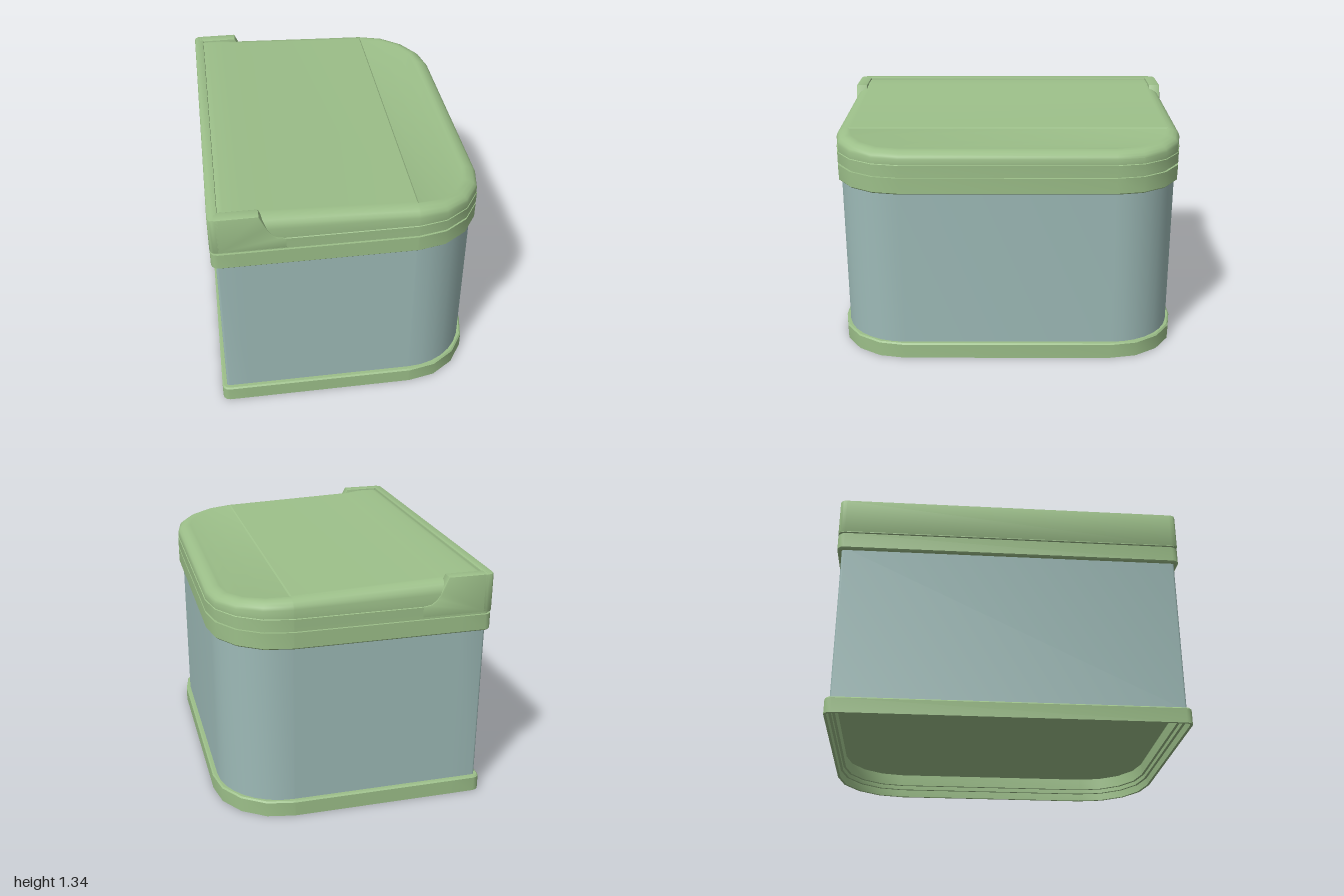
import * as THREE from 'three';
import { toCreasedNormals } from 'three/addons/utils/BufferGeometryUtils.js';

const green = new THREE.MeshStandardMaterial({ color: 0x9cbf89 });
const blue = new THREE.MeshStandardMaterial({ color: 0x9dbab7 });
const HX = 0.755, HZ = 1;

// Footprint inset by d: tight corners at -x, wide rounded corners at +x.
// Ordered symmetrically, so point i mirrors point n-1-i across z = 0.
function outline(d, segments) {
  const half = [];
  const arc = (cx, cz, r, from, to, n) => {
    for (let i = 0; i <= n; i++) {
      const a = from + (to - from) * i / n;
      half.push([cx + r * Math.cos(a), cz + r * Math.sin(a)]);
    }
  };
  const small = Math.max(0.04 - d, 0.01), big = 0.4 - d;
  arc(-HX + d + small, -HZ + d + small, small, Math.PI, Math.PI * 1.5, 3);
  for (const x of [-0.58, -0.48, 0.348]) half.push([x, -HZ + d]);
  arc(HX - d - big, -HZ + d + big, big, Math.PI * 1.5, Math.PI * 2, segments);
  return [...half, ...half.map(([x, z]) => [x, -z]).reverse()];
}

// Skin through rings [inset, height or height(x)], closed at both ends.
function loft(name, material, rings, segments = 4) {
  const positions = [], index = [];
  let n = 0;
  for (const [d, h] of rings) {
    const pts = outline(d, segments);
    n = pts.length;
    for (const [x, z] of pts) positions.push(x, typeof h === 'function' ? h(x) : h, z);
  }
  for (let k = 0; k < rings.length - 1; k++) {
    for (let i = 0; i < n; i++) {
      const j = (i + 1) % n, a = k * n, b = a + n;
      index.push(a + i, b + j, a + j, a + i, b + i, b + j);
    }
  }
  const top = (rings.length - 1) * n;
  for (let i = 0; i < n / 2 - 1; i++) {
    const a = i, b = i + 1, c = n - 2 - i, d = n - 1 - i;
    index.push(a, c, d, a, b, c);
    index.push(top + a, top + d, top + c, top + a, top + c, top + b);
  }
  const geometry = new THREE.BufferGeometry();
  geometry.setAttribute('position', new THREE.Float32BufferAttribute(positions, 3));
  geometry.setIndex(index);
  const mesh = new THREE.Mesh(toCreasedNormals(geometry, 0.6), material);
  mesh.name = name;
  return mesh;
}

// Height of the lid's sloping top along x, easing up to the housing at the back
function lidTop(x) {
  if (x < -0.48) return 1.317 + 0.013 * Math.min((-0.48 - x) / 0.1, 1);
  if (x < 0.355) return 1.317 - (x + 0.48) * 0.038;
  const t = x - 0.355;
  return 1.285 - t * 0.045 - t * t * 0.1;
}
const dome = f => x => 1.185 + (lidTop(x) - 1.185) * f;
// Shallow sunken panel at the rounded end of the lid
const panel = x => lidTop(x) - (x > 0.352 ? 0.005 : 0);

// Extruded outline with a small rounded edge that stays within the outline
function bevelled(shape, depth) {
  const b = 0.007;
  const geometry = new THREE.ExtrudeGeometry(shape, {
    depth: depth - 2 * b, bevelSize: b, bevelThickness: b, bevelOffset: -b, bevelSegments: 2, curveSegments: 4,
  });
  geometry.translate(0, 0, b);
  return geometry;
}

export function createModel() {
  const model = new THREE.Group();

  // Base rim with a stepped recess underneath
  model.add(loft('baseRim', green, [
    [0.045, 0.14], [0.045, 0.07], [0.03, 0.07], [0.03, 0.045], [0.015, 0.045], [0.015, 0],
    [0, 0], [0, 0.084], [0.008, 0.092], [0.035, 0.092], [0.035, 0.15],
  ]));

  // Container walls
  model.add(loft('body', blue, [[0.04, 0.155], [0.04, 0.085], [0.027, 0.085], [0.027, 1.03]], 8));

  // Collar and the shadow groove above it
  model.add(loft('collar', green, [
    [0.06, 1.015], [0.008, 1.015], [0.001, 1.022], [0.001, 1.11], [0.014, 1.11], [0.014, 1.13],
  ]));

  // Lid: straight band, fine seam edge, then a rounded edge up to the sloping top
  model.add(loft('lid', green, [
    [0.06, 1.122], [0.001, 1.122], [0.001, 1.183], [0.005, 1.186],
    [0.004, dome(0.5)], [0.01, dome(0.68)], [0.024, dome(0.84)],
    [0.045, dome(0.94)], [0.07, dome(1)], [0.085, panel],
  ]));

  // Raised hinge housing: back bar plus a swept cheek on each side
  const housing = new THREE.Group();
  housing.name = 'hingeHousing';
  const bar = new THREE.Shape();
  bar.moveTo(-0.70, -HZ);
  bar.lineTo(-0.70, HZ);
  bar.lineTo(-0.715, HZ);
  bar.quadraticCurveTo(-HX, HZ, -HX, 0.96);
  bar.lineTo(-HX, -0.96);
  bar.quadraticCurveTo(-HX, -HZ, -0.715, -HZ);
  const barGeometry = bevelled(bar, 0.218);
  barGeometry.rotateX(-Math.PI / 2);
  const backBar = new THREE.Mesh(toCreasedNormals(barGeometry, 0.6), green);
  backBar.name = 'backBar';
  backBar.position.y = 1.122;
  housing.add(backBar);

  const cheek = new THREE.Shape();
  cheek.moveTo(-0.72, 1.122);
  cheek.lineTo(-0.35, 1.122);
  cheek.lineTo(-0.35, 1.185);
  cheek.lineTo(-0.40, 1.195);
  cheek.quadraticCurveTo(-0.44, 1.22, -0.457, 1.265);
  cheek.lineTo(-0.492, 1.34);
  cheek.lineTo(-0.72, 1.34);
  const cheekGeometry = toCreasedNormals(bevelled(cheek, 0.07), 0.6);
  for (const side of [1, -1]) {
    const mesh = new THREE.Mesh(cheekGeometry, green);
    mesh.name = side > 0 ? 'frontCheek' : 'backCheek';
    mesh.position.z = side > 0 ? 0.93 : -HZ;
    housing.add(mesh);
  }
  model.add(housing);
  return model;
}
